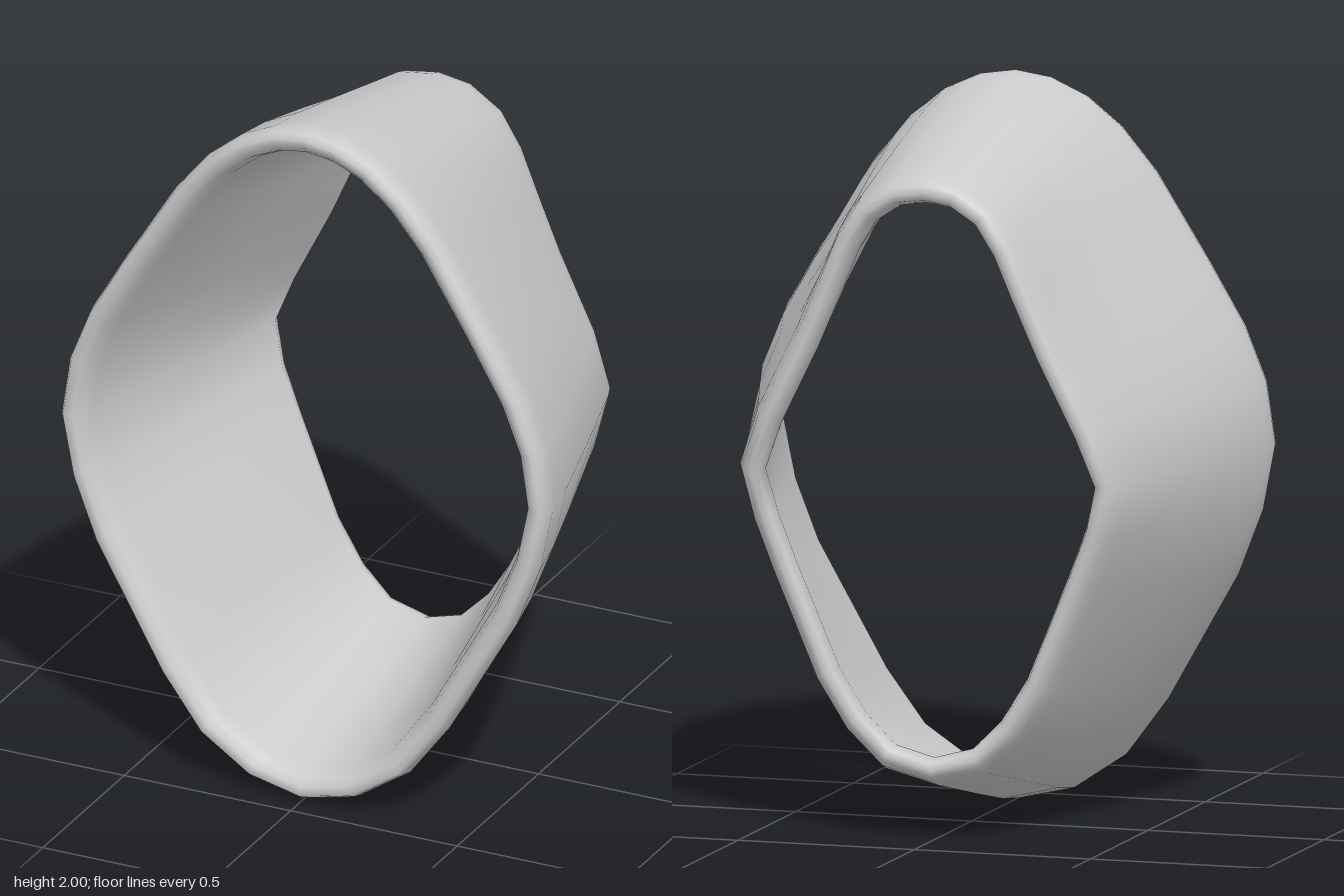
import * as THREE from 'three';

// Half outlines, top to bottom: outer edge at the front, opening at the back
const FRONT = [[0, 2], [0.1, 1.985], [0.2, 1.94], [0.3, 1.86], [0.4, 1.74], [0.55, 1.5], [0.65, 1.33], [0.71, 1.18],
  [0.735, 1.01], [0.7, 0.83], [0.63, 0.65], [0.43, 0.3], [0.31, 0.14], [0.16, 0.04], [0, 0.003]];
const BACK = [[0, 1.755], [0.07, 1.745], [0.14, 1.7], [0.19, 1.62], [0.24, 1.5], [0.31, 1.34], [0.36, 1.24], [0.415, 1.13],
  [0.465, 1.0], [0.435, 0.88], [0.385, 0.75], [0.265, 0.46], [0.19, 0.34], [0.11, 0.26], [0, 0.23]];

// Wall section: [depth from front 0 to back 1, height above the inner face]
const WALL = 0.075;
const SECTION = [[0, 0.055], [0.02, 0.066], [0.055, WALL], [0.1, WALL + 0.002], [0.22, WALL + 0.008], [0.5, WALL + 0.006],
  [0.75, WALL + 0.002], [0.91, WALL], [0.965, 0.068], [0.992, 0.052], [1, 0.034], [0.992, 0.014], [0.95, 0],
  [0.6, 0], [0.3, 0], [0.08, 0], [0.03, 0.01], [0.005, 0.03]];

// Mirror a half outline into a closed clockwise loop
function closeLoop(half) {
  const pts = half.map(([x, y]) => new THREE.Vector2(x, y));
  const left = pts.slice(1, -1).reverse().map((p) => new THREE.Vector2(-p.x, p.y));
  return [...pts, ...left];
}

// Outward direction at each point of a clockwise loop
function outward(loop) {
  const n = loop.length;
  return loop.map((_, i) => {
    const d = loop[(i + 1) % n].clone().sub(loop[(i + n - 1) % n]).normalize();
    return new THREE.Vector2(-d.y, d.x);
  });
}

// Slightly slanted front rim; back rim has a small step at mid height
const frontZ = (y) => 0.445 - 0.0075 * y;
const backZ = (y) => -0.387 - 0.028 * THREE.MathUtils.smoothstep(y, 0.88, 1.1) - 0.032 * (y - 1);

function ringGeometry() {
  const front = closeLoop(FRONT), back = closeLoop(BACK);
  const nf = outward(front), nb = outward(back);
  const count = front.length, rows = SECTION.length;
  const positions = [], index = [];
  SECTION.forEach(([t, height]) => {
    const s = THREE.MathUtils.clamp((t - 0.05) / 0.91, 0, 1);
    front.forEach((p, i) => {
      const point = p.clone().addScaledVector(nf[i], -WALL).lerp(back[i], s);
      const normal = nf[i].clone().lerp(nb[i], s).normalize();
      point.addScaledVector(normal, height);
      positions.push(point.x, point.y, THREE.MathUtils.lerp(frontZ(p.y), backZ(back[i].y), t));
    });
  });
  for (let j = 0; j < rows; j++) {
    for (let i = 0; i < count; i++) {
      const i2 = (i + 1) % count, j2 = (j + 1) % rows;
      const a = j * count + i, b = j * count + i2, c = j2 * count + i, d = j2 * count + i2;
      index.push(a, b, c, b, d, c);
    }
  }
  const geometry = new THREE.BufferGeometry();
  geometry.setAttribute('position', new THREE.Float32BufferAttribute(positions, 3));
  geometry.setIndex(index);
  geometry.computeVertexNormals();
  return geometry;
}

export function createModel() {
  const group = new THREE.Group();
  const ring = new THREE.Mesh(ringGeometry(), new THREE.MeshStandardMaterial({ color: 0xcccccc }));
  ring.name = 'taperedRing';
  group.add(ring);
  return group;
}
